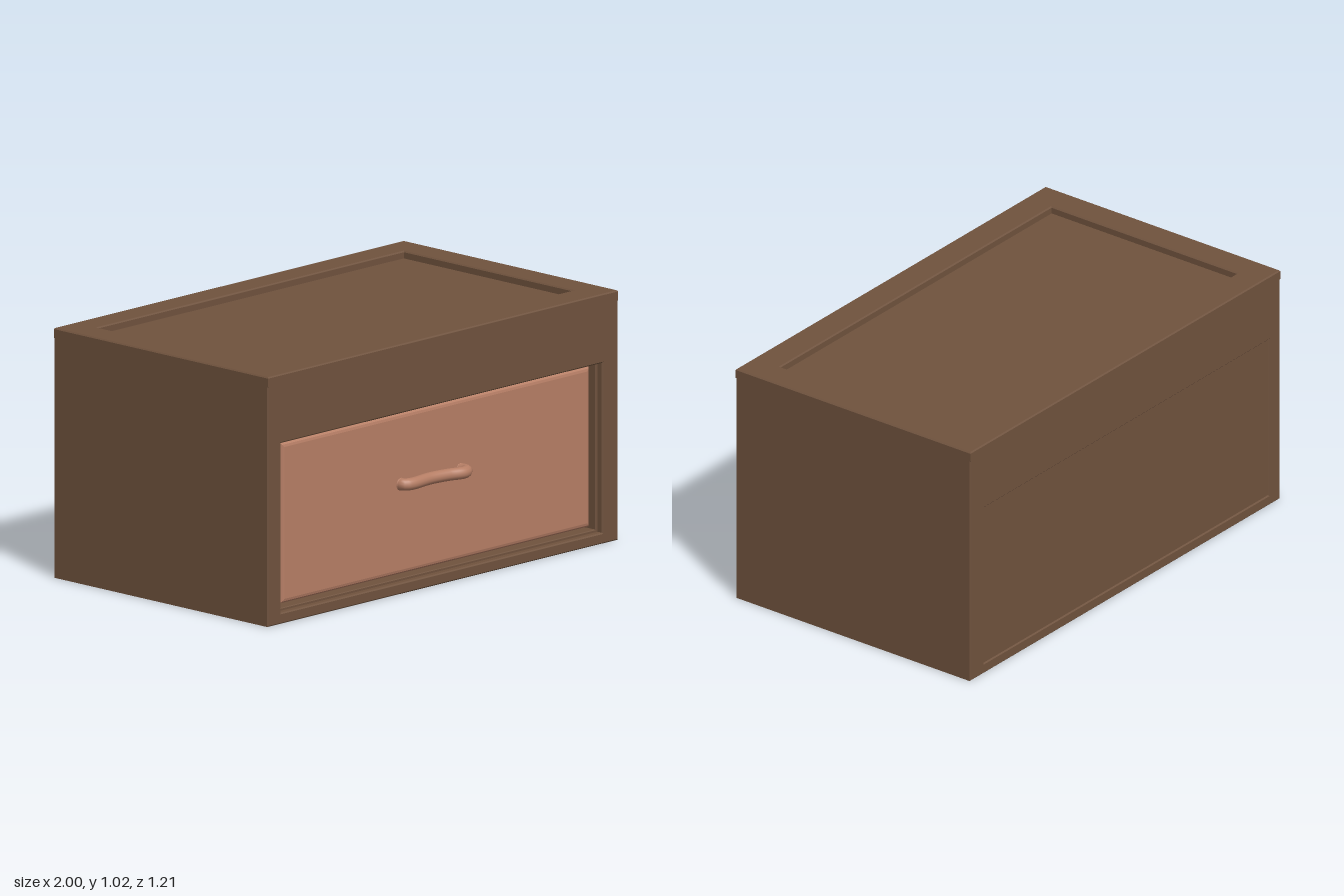
import * as THREE from 'three';

const wood = new THREE.MeshStandardMaterial({ color: 0x6f523d });
const clay = new THREE.MeshStandardMaterial({ color: 0xb67e65 });

// Rectangle outline from opposite corners
function rect(x0, y0, x1, y1, Type = THREE.Shape) {
  return new Type([[x0, y0], [x1, y0], [x1, y1], [x0, y1]].map(p => new THREE.Vector2(...p)));
}

// Extruded rectangle, optionally with a rectangular hole; spans z0..z1 including its bevel
function slab(outer, hole, z0, z1, bevel, segments = 1) {
  const shape = rect(...outer);
  if (hole) shape.holes.push(rect(...hole, THREE.Path));
  const geometry = new THREE.ExtrudeGeometry(shape, {
    depth: z1 - z0 - 2 * bevel, bevelEnabled: bevel > 0, bevelThickness: bevel,
    bevelSize: bevel, bevelOffset: -bevel, bevelSegments: segments,
  });
  return geometry.translate(0, 0, z0 + bevel);
}

export function createModel() {
  const model = new THREE.Group();
  model.name = 'drawerCabinet';
  const add = (name, geometry, material, parent = model) => {
    const mesh = new THREE.Mesh(geometry, material);
    mesh.name = name;
    parent.add(mesh);
    return mesh;
  };

  // Cabinet shell with the drawer opening
  add('cabinetBody', slab([-1, 0, 1, 0.99], [-0.925, 0.045, 0.91, 0.738], -0.605, 0.575, 0.005), wood);
  add('backPanel', new THREE.BoxGeometry(1.9, 0.75, 0.03).translate(0, 0.4, -0.585), wood);

  // Narrow step inside the opening
  add('openingStep', slab([-0.96, 0.02, 0.96, 0.77], [-0.897, 0.056, 0.897, 0.732], 0.3, 0.548, 0.003), wood);

  // Raised rim around the recessed top (drawn in x, -z and laid flat)
  add('topRim', slab([-1, -0.575, 1, 0.605], [-0.875, -0.447, 0.875, 0.485], 0.975, 1.02, 0.005)
    .rotateX(-Math.PI / 2), wood);

  // Drawer with rounded front edges
  const drawer = new THREE.Group();
  drawer.name = 'drawer';
  model.add(drawer);
  add('drawerFront', slab([-0.885, 0.065, 0.885, 0.725], null, 0.44, 0.535, 0.02, 3), clay, drawer);
  add('drawerBox', new THREE.BoxGeometry(1.7, 0.58, 0.95).translate(0, 0.39, -0.03), clay, drawer);

  // Wavy pull handle with rounded ends
  const path = [[-0.2, 0.527], [-0.195, 0.551], [-0.165, 0.561], [-0.05, 0.551],
    [0.04, 0.562], [0.11, 0.581], [0.14, 0.566], [0.142, 0.527]]
    .map(([x, z]) => new THREE.Vector3(x, 0.435, z));
  const handle = new THREE.Group();
  handle.name = 'handle';
  drawer.add(handle);
  add('handleBar', new THREE.TubeGeometry(new THREE.CatmullRomCurve3(path), 48, 0.025, 14), clay, handle);
  [path[0], path[path.length - 1]].forEach(p =>
    add('handleEnd', new THREE.SphereGeometry(0.027, 14, 10), clay, handle).position.copy(p));

  return model;
}
